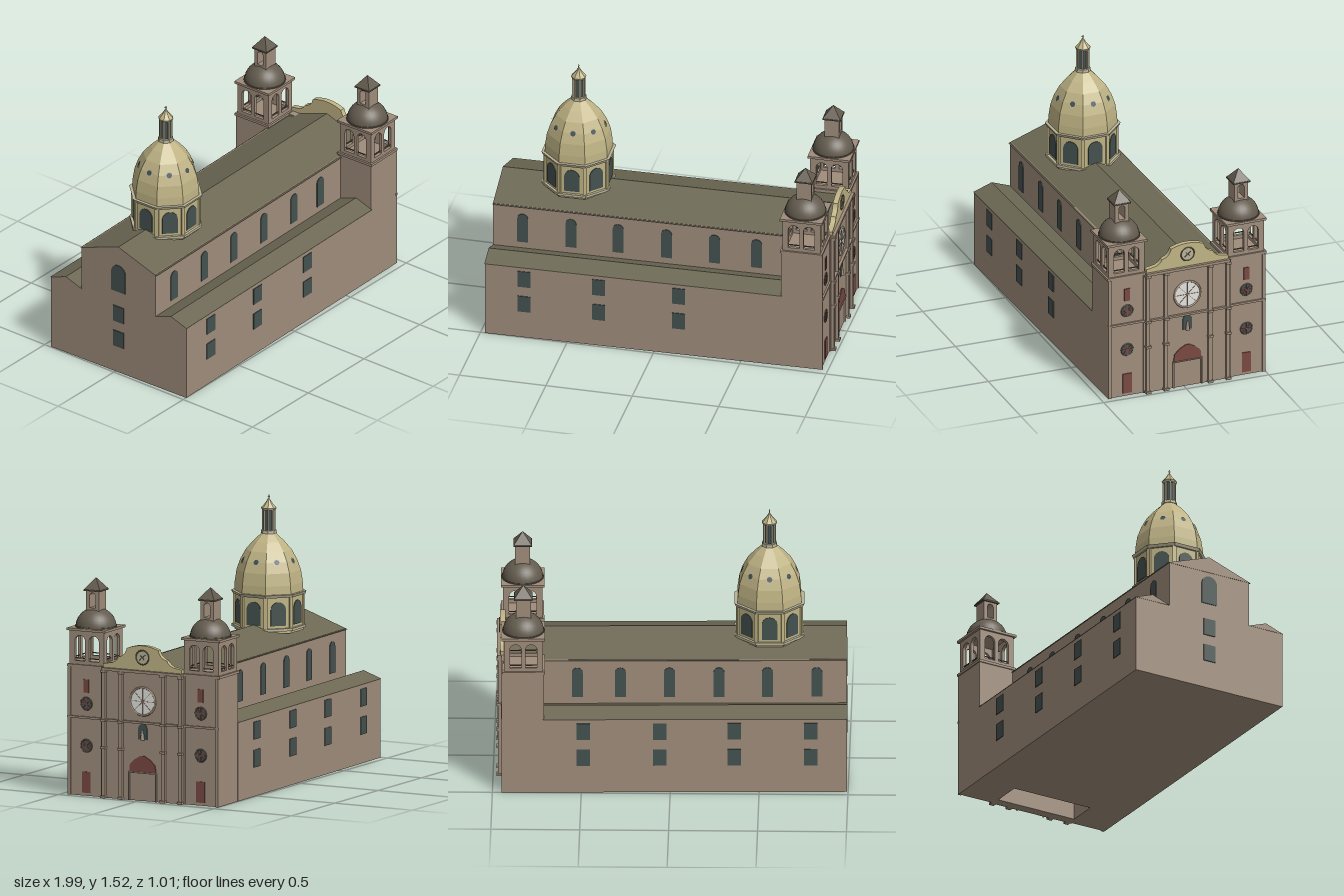
import * as THREE from 'three';

const mat = (name, color) => Object.assign(new THREE.MeshStandardMaterial({ color }), { name });
const wall = mat('stone wall', 0x9f8d7b);
const roof = mat('roof tiles', 0x6c6854);
const slate = mat('tower dome slate', 0x635b4e);
const cream = mat('cream dome', 0xc0b485);
const glass = mat('dark glass', 0x44524f);
const red = mat('red door', 0x7a4842);
const trim = mat('pale trim', 0xb9b297);
const pale = mat('rose glazing', 0xe4e3de);
[cream, slate].forEach(() => {});

function add(parent, name, geo, material, x = 0, y = 0, z = 0) {
  const m = new THREE.Mesh(geo, material);
  m.name = name;
  m.position.set(x, y, z);
  parent.add(m);
  return m;
}
// box given by its bottom centre
const box = (p, name, m, w, h, d, x, y, z) => add(p, name, new THREE.BoxGeometry(w, h, d), m, x, y + h / 2, z);
const poly = (pts) => new THREE.Shape(pts.map(([x, y]) => new THREE.Vector2(x, y)));
const plate = (shape, depth) => new THREE.ExtrudeGeometry(shape, { depth, bevelEnabled: false, curveSegments: 10 });

// round-headed outline standing on (x, y)
function arch(w, h, x = 0, y = 0, Type = THREE.Shape) {
  const s = new Type(), r = w / 2;
  s.moveTo(x - r, y);
  s.lineTo(x + r, y);
  s.lineTo(x + r, y + h - r);
  s.absarc(x, y + h - r, r, 0, Math.PI, false);
  s.lineTo(x - r, y);
  return s;
}
// group whose local +z looks along the given heading
function facing(parent, name, angle, x = 0, z = 0) {
  const g = new THREE.Group();
  g.name = name;
  g.rotation.y = angle;
  g.position.set(x, 0, z);
  parent.add(g);
  return g;
}
// profile in (z, y) drawn out along x, with separate end and side colours
function prism(parent, name, pts, x0, x1, mats) {
  const g = plate(poly(pts), x1 - x0);
  g.rotateY(Math.PI / 2);
  return add(parent, name, g, mats, x0, 0, 0);
}

// square window pairs, one above the other
function windowPair(face, x, z) {
  box(face, 'lowerWindow', glass, 0.075, 0.1, 0.008, x, 0.165, z);
  box(face, 'upperWindow', glass, 0.075, 0.1, 0.008, x, 0.325, z);
}

function buildHall(root) {
  const hall = facing(root, 'hall', 0);
  // aisles and nave
  box(hall, 'aisleBlock', wall, 1.71, 0.45, 0.96, -0.13, 0, 0);
  box(hall, 'naveWall', wall, 1.92, 0.28, 0.524, -0.025, 0.44, 0);
  prism(hall, 'naveRoof', [[-0.27, 0.715], [0.27, 0.715], [0, 0.81]], -0.987, 0.94, [wall, roof]);
  for (const s of [-1, 1]) {
    const c = s * 0.372;
    prism(hall, 'aisleRoof', [[c - 0.112, 0.45], [c + 0.112, 0.45], [c, 0.49]], -0.987, 0.725, [wall, roof]);
  }
  // side windows, front and back
  for (const s of [1, -1]) {
    const side = facing(hall, s > 0 ? 'frontSide' : 'backSide', s > 0 ? 0 : Math.PI);
    for (const x of [-0.815, -0.537, -0.265, 0.013, 0.29, 0.532])
      add(side, 'naveWindow', plate(arch(0.062, 0.18), 0.006), glass, s * x, 0.49, 0.26);
    for (const x of s > 0 ? [-0.76, -0.33, 0.13] : [-0.78, -0.35, 0.07, 0.5]) windowPair(side, s * x, 0.48);
  }
  // rear wall
  const rear = facing(hall, 'rearWall', -Math.PI / 2);
  windowPair(rear, 0, 0.986);
  add(rear, 'rearArchWindow', plate(arch(0.1, 0.17), 0.006), glass, 0, 0.52, 0.983);
}

function buildDome(root) {
  const dome = facing(root, 'mainDome', 0, -0.55, 0);
  const k = 1 / Math.cos(Math.PI / 8);
  // eight-sided ring turned so that a flat side faces front
  const oct = (name, m, r0, r1, y0, y1) => {
    const g = new THREE.CylinderGeometry(r1 * k, r0 * k, y1 - y0, 8).toNonIndexed();
    g.rotateY(Math.PI / 8);
    g.computeVertexNormals();
    return add(dome, name, g, m, 0, (y0 + y1) / 2, 0);
  };
  oct('drumBase', trim, 0.195, 0.195, 0.775, 0.79);
  oct('drum', cream, 0.18, 0.18, 0.76, 0.975);
  oct('drumCornice', trim, 0.19, 0.197, 0.965, 0.982);
  const profile = [[0.18, 0.98], [0.178, 1.03], [0.168, 1.1], [0.148, 1.16], [0.12, 1.215], [0.08, 1.265], [0.045, 1.3], [0.03, 1.315]];
  profile.slice(1).forEach(([r, y], i) => oct('domeShell', cream, profile[i][0], r, profile[i][1], y));
  for (let i = 0; i < 8; i++) {
    const side = facing(dome, 'domeSide', i * Math.PI / 4);
    add(side, 'drumWindow', plate(arch(0.088, 0.135), 0.006), glass, 0, 0.805, 0.178);
    const eye = add(side, 'oculusFrame', new THREE.CircleGeometry(0.021, 8), trim, 0, 1.16, 0.151);
    const pane = add(side, 'oculus', new THREE.CircleGeometry(0.016, 8), glass, 0, 1.161, 0.153);
    eye.rotation.x = pane.rotation.x = -0.4;
    const corner = facing(dome, 'domeCorner', (i + 0.5) * Math.PI / 4);
    box(corner, 'drumPost', cream, 0.022, 0.18, 0.012, 0, 0.785, 0.194);
    box(corner, 'lanternPost', trim, 0.009, 0.13, 0.009, 0, 1.32, 0.034);
  }
  // lantern
  oct('lanternFoot', trim, 0.042, 0.04, 1.308, 1.325);
  oct('lanternCore', glass, 0.025, 0.025, 1.32, 1.445);
  oct('lanternCornice', trim, 0.036, 0.041, 1.44, 1.452);
  oct('lanternRoof', cream, 0.04, 0.018, 1.452, 1.48);
  oct('lanternTip', cream, 0.018, 0.002, 1.48, 1.508);
  box(dome, 'crossPost', trim, 0.004, 0.025, 0.004, 0, 1.5, 0);
  box(dome, 'crossBar', trim, 0.004, 0.004, 0.014, 0, 1.513, 0);
}

// dark round window with red spokes
function roundWindow(face, y, z) {
  add(face, 'roundWindowRim', new THREE.TorusGeometry(0.035, 0.004, 6, 20), slate, 0, y, z);
  add(face, 'roundWindow', new THREE.CircleGeometry(0.035, 20), glass, 0, y, z + 0.002);
  for (let i = 0; i < 4; i++)
    add(face, 'spoke', new THREE.BoxGeometry(0.068, 0.005, 0.004), red, 0, y, z + 0.003).rotation.z = i * Math.PI / 4;
}

function buildTower(root, s) {
  const t = facing(root, s > 0 ? 'frontTower' : 'backTower', 0, 0.836, s * 0.364);
  box(t, 'towerShaft', wall, 0.23, 0.73, 0.23, 0, 0, 0);
  box(t, 'shaftCornice', wall, 0.242, 0.015, 0.242, 0, 0.73, 0);
  // open belfry with paired arches on each side
  for (let i = 0; i < 4; i++) {
    const side = facing(t, 'belfrySide', i * Math.PI / 2);
    const shape = poly([[-0.11, 0.745], [0.11, 0.745], [0.11, 0.94], [-0.11, 0.94]]);
    for (const x of [-0.044, 0.044]) shape.holes.push(arch(0.064, 0.145, x, 0.765, THREE.Path));
    add(side, 'belfryArcade', plate(shape, 0.018), wall, 0, 0, 0.092);
    box(side, 'railing', slate, 0.19, 0.005, 0.006, 0, 0.777, 0.1);
  }
  box(t, 'belfryCornice', wall, 0.244, 0.014, 0.244, 0, 0.936, 0);
  // dome and its lantern
  const cap = new THREE.SphereGeometry(0.115, 28, 10, 0, Math.PI * 2, 0, Math.PI / 2);
  add(t, 'towerDome', cap, slate, 0, 0.95, 0).scale.y = 0.93;
  add(t, 'domeRim', new THREE.CylinderGeometry(0.119, 0.119, 0.01, 28), slate, 0, 0.951, 0);
  const house = poly([[-0.042, 1.035], [0.042, 1.035], [0.042, 1.16], [-0.042, 1.16]]);
  house.holes.push(arch(0.038, 0.085, 0, 1.06, THREE.Path));
  const lantern = facing(t, 'towerLantern', Math.PI / 2);
  add(lantern, 'lanternHouse', plate(house, 0.084), wall, 0, 0, -0.042);
  box(lantern, 'lanternEave', slate, 0.104, 0.008, 0.104, 0, 1.155, 0);
  const tip = new THREE.ConeGeometry(0.074, 0.068, 4).toNonIndexed();
  tip.rotateY(Math.PI / 4);
  tip.computeVertexNormals();
  add(t, 'lanternSpire', tip, slate, 0, 1.195, 0);
  // painted openings and edge strips on the entrance side
  const face = facing(t, 'towerFace', Math.PI / 2);
  box(face, 'towerDoor', red, 0.054, 0.12, 0.008, 0, 0.017, 0.116);
  box(face, 'smallShutter', red, 0.034, 0.075, 0.008, 0, 0.588, 0.116);
  roundWindow(face, 0.285, 0.116);
  roundWindow(face, 0.525, 0.116);
  for (const x of [-0.106, 0.106]) box(face, 'edgeStrip', wall, 0.018, 0.73, 0.01, x, 0, 0.118);
  box(face, 'towerBand', wall, 0.235, 0.012, 0.014, 0, 0.44, 0.118);
}

function buildFacade(root) {
  const f = facing(root, 'facade', Math.PI / 2);
  box(f, 'facadeWall', wall, 0.5, 0.74, 0.06, 0, 0, 0.93);
  // pilasters with their bands
  for (const x of [-0.244, -0.135, 0.135, 0.244]) {
    box(f, 'pilaster', wall, 0.022, 0.73, 0.02, x, 0, 0.967);
    for (const y of [0, 0.28, 0.435, 0.715]) box(f, 'pilasterBand', wall, 0.03, 0.014, 0.03, x, y, 0.97);
  }
  box(f, 'middleBand', wall, 0.5, 0.012, 0.02, 0, 0.44, 0.965);
  box(f, 'entablature', wall, 0.51, 0.016, 0.034, 0, 0.728, 0.965);
  // curved pediment with clock
  const p = new THREE.Shape();
  p.moveTo(-0.25, 0.744);
  p.lineTo(0.25, 0.744);
  p.lineTo(0.25, 0.765);
  p.lineTo(0.195, 0.775);
  p.quadraticCurveTo(0.165, 0.785, 0.155, 0.81);
  p.quadraticCurveTo(0.11, 0.82, 0.1, 0.865);
  p.quadraticCurveTo(0, 0.905, -0.1, 0.865);
  p.quadraticCurveTo(-0.11, 0.82, -0.155, 0.81);
  p.quadraticCurveTo(-0.165, 0.785, -0.195, 0.775);
  p.lineTo(-0.25, 0.765);
  add(f, 'pediment', plate(p, 0.03), cream, 0, 0, 0.935);
  add(f, 'clockRim', new THREE.TorusGeometry(0.04, 0.004, 6, 24), slate, 0, 0.818, 0.967);
  add(f, 'clockFace', new THREE.CircleGeometry(0.04, 24), trim, 0, 0.818, 0.968);
  [[0.05, 0.7], [0.03, 2.4]].forEach(([len, a]) => {
    add(f, 'clockHand', new THREE.BoxGeometry(len, 0.005, 0.003), slate, 0, 0.818, 0.97).rotation.z = a;
  });
  // rose window
  add(f, 'roseRim', new THREE.TorusGeometry(0.079, 0.006, 6, 32), wall, 0, 0.567, 0.962);
  add(f, 'rosePane', new THREE.CircleGeometry(0.078, 32), pale, 0, 0.567, 0.963);
  for (let i = 0; i < 4; i++)
    add(f, 'roseBar', new THREE.BoxGeometry(0.154, 0.003, 0.003), wall, 0, 0.567, 0.964).rotation.z = i * Math.PI / 4;
  // niche with a standing figure
  add(f, 'niche', plate(arch(0.056, 0.09), 0.006), glass, 0, 0.35, 0.958);
  add(f, 'nicheFigure', new THREE.CylinderGeometry(0.005, 0.013, 0.055, 8), wall, 0, 0.375, 0.966);
  // portal
  const head = poly([[-0.085, 0.16], [0.085, 0.16], [0.08, 0.205], [0.05, 0.235], [0.012, 0.256], [-0.012, 0.256], [-0.05, 0.235], [-0.08, 0.205]]);
  add(f, 'portalHead', plate(head, 0.008), red, 0, 0, 0.958);
  for (const x of [-0.086, 0.086]) box(f, 'portalJamb', wall, 0.008, 0.16, 0.012, x, 0, 0.964);
  box(f, 'portalLintel', wall, 0.18, 0.006, 0.014, 0, 0.157, 0.964);
}

export function createModel() {
  const model = new THREE.Group();
  model.name = 'cathedral';
  // the whole building is turned very slightly
  const building = facing(model, 'building', 0.022);
  buildHall(building);
  buildDome(building);
  buildTower(building, 1);
  buildTower(building, -1);
  buildFacade(building);
  return model;
}
